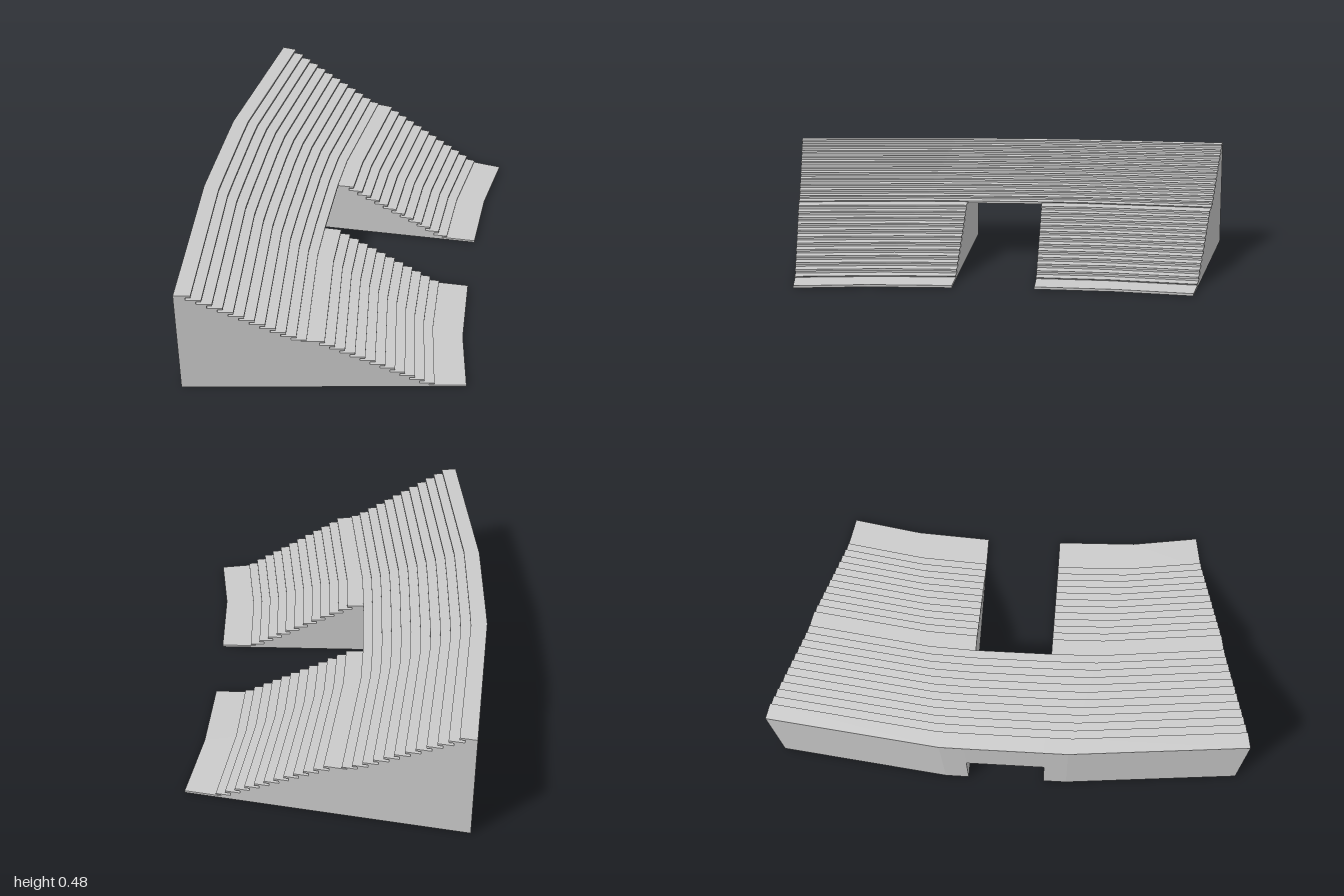
import * as THREE from 'three';

// Plan lines from the back wall to the front edge: [backX, backZ, frontX, frontZ]
const END_A = [-0.722, -1, 0.438, -1];
const BEND_A = [-0.673, -0.262, 0.445, -0.686];
const GAP_A = [-0.655, -0.16, 0.487, -0.357];
const GAP_B = [-0.595, 0.17, 0.55, -0.024];
const BEND_B = [-0.577, 0.268, 0.625, 0.32];
const END_B = [-0.373, 1, 0.722, 0.604];

const DEPTH = 1.095;      // depth that the step offsets are measured against
const GAP_DEPTH = 0.485;  // where the covered passage opens out
const DOOR_HEIGHT = 0.243;

// Treads from top to bottom: [nose offset from the back wall, height]
function treads() {
  const list = [];
  for (let i = 0; i < 11; i++) list.push([0.064 + 0.0383 * i, 0.477 - 0.0207 * i]);
  list.push([GAP_DEPTH, 0.253]);
  for (let j = 0; j < 12; j++) list.push([0.553 + 0.0381 * j, 0.245 - 0.0205 * j]);
  list.push([DEPTH, 0.01]);
  return list;
}

// Counter-clockwise stepped outline with overhanging noses
function steppedProfile(steps, base) {
  const down = [[0, steps[0][1]]];
  steps.forEach(([x, y], i) => {
    down.push([x, y]);
    const next = steps[i + 1];
    if (!next) {
      down.push([x, base]);
      return;
    }
    const lip = y - 0.42 * (y - next[1]);
    down.push([x, lip], [x - 0.02, lip], [x - 0.02, next[1]]);
  });
  down.push([0, base]);
  return down.reverse().map(([x, y]) => new THREE.Vector2(x / DEPTH, y));
}

// Solid swept through the plan lines, with capped ends
function loft(profile, lines) {
  const pos = [];
  const put = (p, [bx, bz, fx, fz]) =>
    pos.push(bx + (fx - bx) * p.x, p.y, bz + (fz - bz) * p.x);
  for (let s = 0; s < lines.length - 1; s++) {
    const l0 = lines[s], l1 = lines[s + 1];
    profile.forEach((a, i) => {
      const b = profile[(i + 1) % profile.length];
      put(a, l0); put(b, l0); put(b, l1);
      put(a, l0); put(b, l1); put(a, l1);
    });
  }
  const last = lines[lines.length - 1];
  for (const [a, b, c] of THREE.ShapeUtils.triangulateShape(profile, [])) {
    [a, b, c].forEach((k) => put(profile[k], last));
    [c, b, a].forEach((k) => put(profile[k], lines[0]));
  }
  const geometry = new THREE.BufferGeometry();
  geometry.setAttribute('position', new THREE.Float32BufferAttribute(pos, 3));
  geometry.computeVertexNormals();
  return geometry;
}

export function createModel() {
  const group = new THREE.Group();
  group.name = 'grandstand';
  const material = new THREE.MeshStandardMaterial({ color: 0xcccccc, flatShading: true });
  const add = (name, profile, lines) => {
    const mesh = new THREE.Mesh(loft(profile, lines), material);
    mesh.name = name;
    group.add(mesh);
  };

  const steps = treads();
  const full = steppedProfile(steps, 0);
  const upper = steppedProfile(steps.slice(0, 12), DOOR_HEIGHT);

  // Full-height blocks either side of the passage
  add('rearSeatingBlock', full, [END_A, BEND_A, GAP_A]);
  add('frontSeatingBlock', full, [GAP_B, BEND_B, END_B]);
  // Upper rows bridging the passage
  add('passageBridge', upper, [GAP_A, GAP_B]);

  return group;
}
